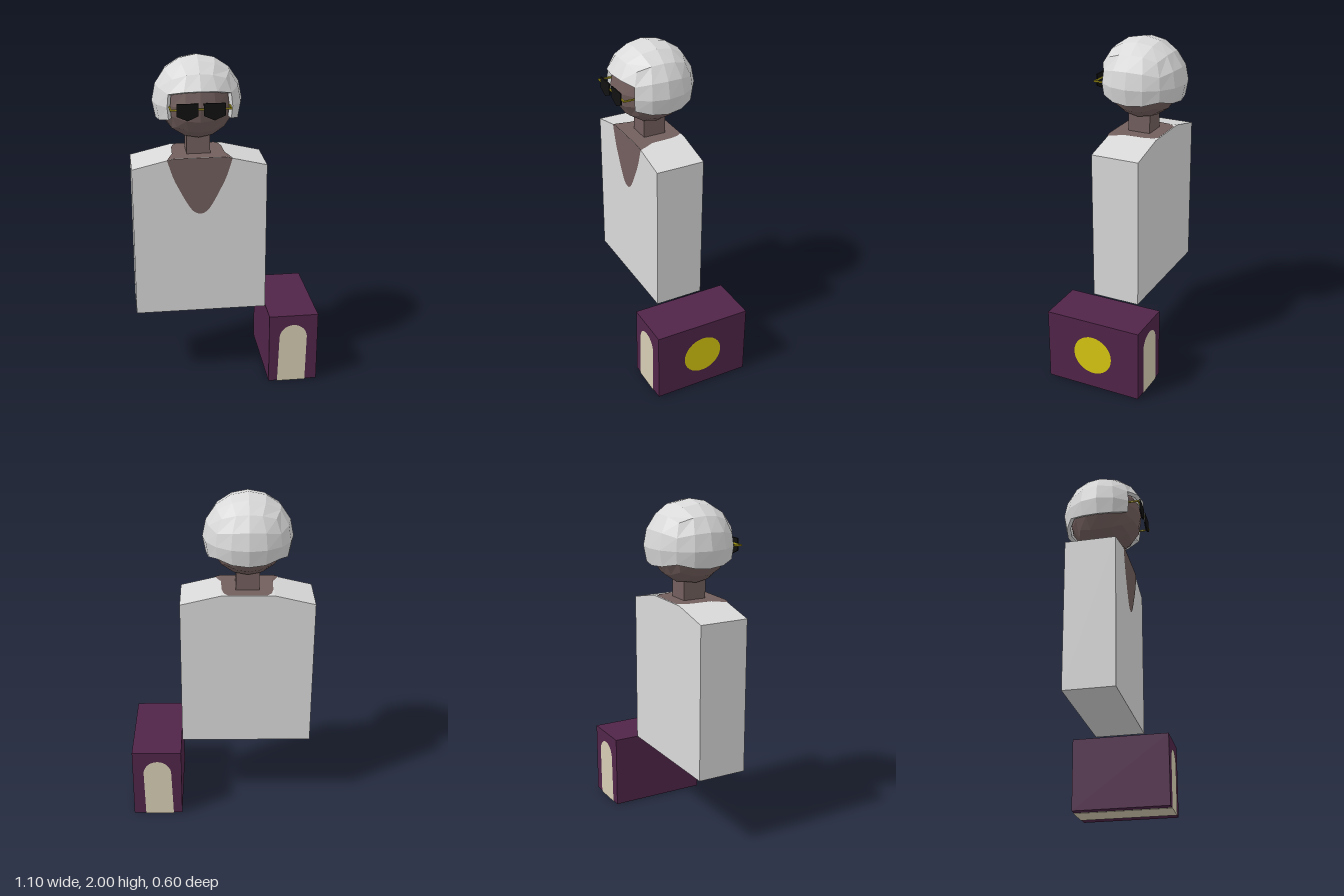
import * as THREE from 'three';

const material = (name, color) => {
  const m = new THREE.MeshStandardMaterial({ color, side: THREE.DoubleSide, flatShading: true });
  m.name = name;
  return m;
};

const CX = -0.155; // centre line of the figure
const HEAD_Y = 1.74;
const V3 = (x, y, z) => new THREE.Vector3(x, y, z);

// Cube with an even 4 x 4 grid per side; projected to a sphere by project()
const cubeGrid = () => new THREE.BoxGeometry(2, 2, 2, 4, 4, 4).toNonIndexed();
const project = (v, r) => {
  const t = (a) => Math.tan(a * Math.PI / 4);
  return V3(t(v.x), t(v.y), t(v.z)).setLength(r);
};

function headGeometry(r) {
  const g = cubeGrid();
  const p = g.attributes.position;
  const v = new THREE.Vector3();
  for (let i = 0; i < p.count; i++) {
    const q = project(v.fromBufferAttribute(p, i), r);
    p.setXYZ(i, q.x, q.y, q.z);
  }
  g.computeVertexNormals();
  return g;
}

// Thick shell: sphere grid without the face opening and underside
function hairGeometry(outer, inner) {
  const p = cubeGrid().attributes.position;
  const out = [];
  const edges = new Map();
  const push = (...vs) => vs.forEach((v) => out.push(v.x, v.y, v.z));
  const key = (v) => [v.x, v.y, v.z].map((n) => Math.round(n * 2)).join();
  for (let i = 0; i < p.count; i += 3) {
    const t = [0, 1, 2].map((k) => V3(p.getX(i + k), p.getY(i + k), p.getZ(i + k)));
    const c = t[0].clone().add(t[1]).add(t[2]).divideScalar(3);
    if (c.y < -0.5 || (c.z > 0.99 && c.y < 0.5)) continue;
    const [a, b, d] = t.map((v) => project(v, outer));
    const [e, f, g] = t.map((v) => project(v, inner));
    push(a, b, d, e, g, f);
    for (let k = 0; k < 3; k++) {
      const u = t[k], w = t[(k + 1) % 3];
      const back = key(w) + '|' + key(u);
      if (edges.has(back)) edges.delete(back);
      else edges.set(key(u) + '|' + key(w), [u, w]);
    }
  }
  // Rim closes the open edges
  for (const [u, w] of edges.values()) {
    const a = project(u, outer), b = project(w, outer);
    const c = project(w, inner), d = project(u, inner);
    push(a, d, b, b, d, c);
  }
  const g = new THREE.BufferGeometry();
  g.setAttribute('position', new THREE.Float32BufferAttribute(out, 3));
  g.computeVertexNormals();
  return g;
}

const polygon = (pts) => new THREE.Shape(pts.map(([x, y]) => new THREE.Vector2(x, y)));
const mirrored = (pts) => [...pts, ...pts.map(([x, y]) => [-x, y]).reverse()];

export function createModel() {
  const model = new THREE.Group();
  const white = material('pale grey', 0xd9d9d9);
  const skin = material('brown skin', 0x725f5d);
  const black = material('black lens', 0x111111);
  const gold = material('dull gold', 0xa89a18);
  const purple = material('dark purple', 0x502549);
  const cream = material('cream', 0xd6cdb3);
  const yellow = material('yellow', 0xd6c610);

  const add = (name, geo, mat, x = 0, y = 0, z = 0, parent = model) => {
    const m = new THREE.Mesh(geo, mat);
    m.name = name;
    m.position.set(x, y, z);
    parent.add(m);
    return m;
  };
  const box = (name, w, h, d, mat, x, y, z, parent) =>
    add(name, new THREE.BoxGeometry(w, h, d), mat, x, y, z, parent);

  // Torso with sloping shoulders
  const torso = new THREE.ExtrudeGeometry(
    polygon(mirrored([[0.395, 0.45], [0.395, 1.37], [0.155, 1.427]])),
    { depth: 0.3, bevelEnabled: false });
  add('torso', torso, white, CX, 0, -0.15);

  // Neckline: front panel
  const neckline = new THREE.Shape();
  neckline.moveTo(-0.155, 1.428);
  neckline.lineTo(0.155, 1.428);
  neckline.lineTo(0.19, 1.419);
  neckline.splineThru([[0.155, 1.31], [0.115, 1.225], [0.075, 1.15], [0.04, 1.102], [0, 1.085],
    [-0.04, 1.102], [-0.075, 1.15], [-0.115, 1.225], [-0.155, 1.31], [-0.19, 1.419]]
    .map(([x, y]) => new THREE.Vector2(x, y)));
  add('necklineFront', new THREE.ShapeGeometry(neckline), skin, CX, 0, 0.153);

  // Neckline: top of the shoulders, bent down along the slope
  const topPlate = (pts) => {
    const g = new THREE.ShapeGeometry(polygon(pts)).rotateX(-Math.PI / 2);
    const p = g.attributes.position;
    for (let i = 0; i < p.count; i++) {
      p.setY(i, 1.43 - Math.max(0, Math.abs(p.getX(i)) - 0.155) * 0.2375);
    }
    g.computeVertexNormals();
    return g;
  };
  add('necklineTop', topPlate(mirrored(
    [[0.155, -0.153], [0.155, -0.06], [0.15, 0.07], [0.138, 0.12], [0.115, 0.148]])), skin, CX);
  for (const s of [1, -1]) {
    add('necklineShoulder', topPlate(
      [[s * 0.155, -0.153], [s * 0.19, -0.153], [s * 0.172, -0.1], [s * 0.155, -0.06]]), skin, CX);
  }

  // Neck, head and hair
  box('neck', 0.138, 0.16, 0.14, skin, CX, 1.5, 0);
  add('head', headGeometry(0.225), skin, CX, HEAD_Y);
  add('hair', hairGeometry(0.262, 0.236), white, CX, HEAD_Y);

  // Glasses
  const glasses = new THREE.Group();
  glasses.name = 'glasses';
  glasses.position.set(CX, HEAD_Y, 0);
  model.add(glasses);
  box('glassesBar', 0.35, 0.009, 0.008, gold, 0, 0, 0.242, glasses);
  for (const s of [1, -1]) {
    box('glassesArm', 0.008, 0.009, 0.14, gold, s * 0.171, 0, 0.172, glasses);
    const lens = new THREE.ExtrudeGeometry(polygon(
      [[0.015, 0.034], [0.015, -0.037], [0.076, -0.064], [0.137, -0.037], [0.137, 0.034]]
        .map(([x, y]) => [s * x, y])), { depth: 0.008, bevelEnabled: false });
    add('lens', lens, black, 0, 0, 0.24, glasses);
  }

  // Chest beside the figure
  const chest = new THREE.Group();
  chest.name = 'chest';
  chest.position.set(0.395, 0, 0);
  model.add(chest);
  box('chestBody', 0.3, 0.444, 0.596, purple, 0, 0.225, 0, chest);

  // Arched panels on both ends, joined by a strip underneath
  const arch = new THREE.Shape();
  arch.moveTo(-0.097, 0.001);
  arch.lineTo(0.077, 0.001);
  arch.lineTo(0.083, 0.3);
  arch.absarc(-0.002, 0.3, 0.085, 0, Math.PI, false);
  for (const s of [1, -1]) {
    add('archPanel', new THREE.ShapeGeometry(arch), cream, 0, 0, s * 0.301, chest);
  }
  box('undersideStrip', 0.174, 0.003, 0.6, cream, -0.01, 0.0015, 0, chest);

  // Round plate on the outer side
  add('roundPlate', new THREE.CircleGeometry(0.123, 32).rotateY(Math.PI / 2), yellow, 0.153, 0.225, 0, chest);
  return model;
}
